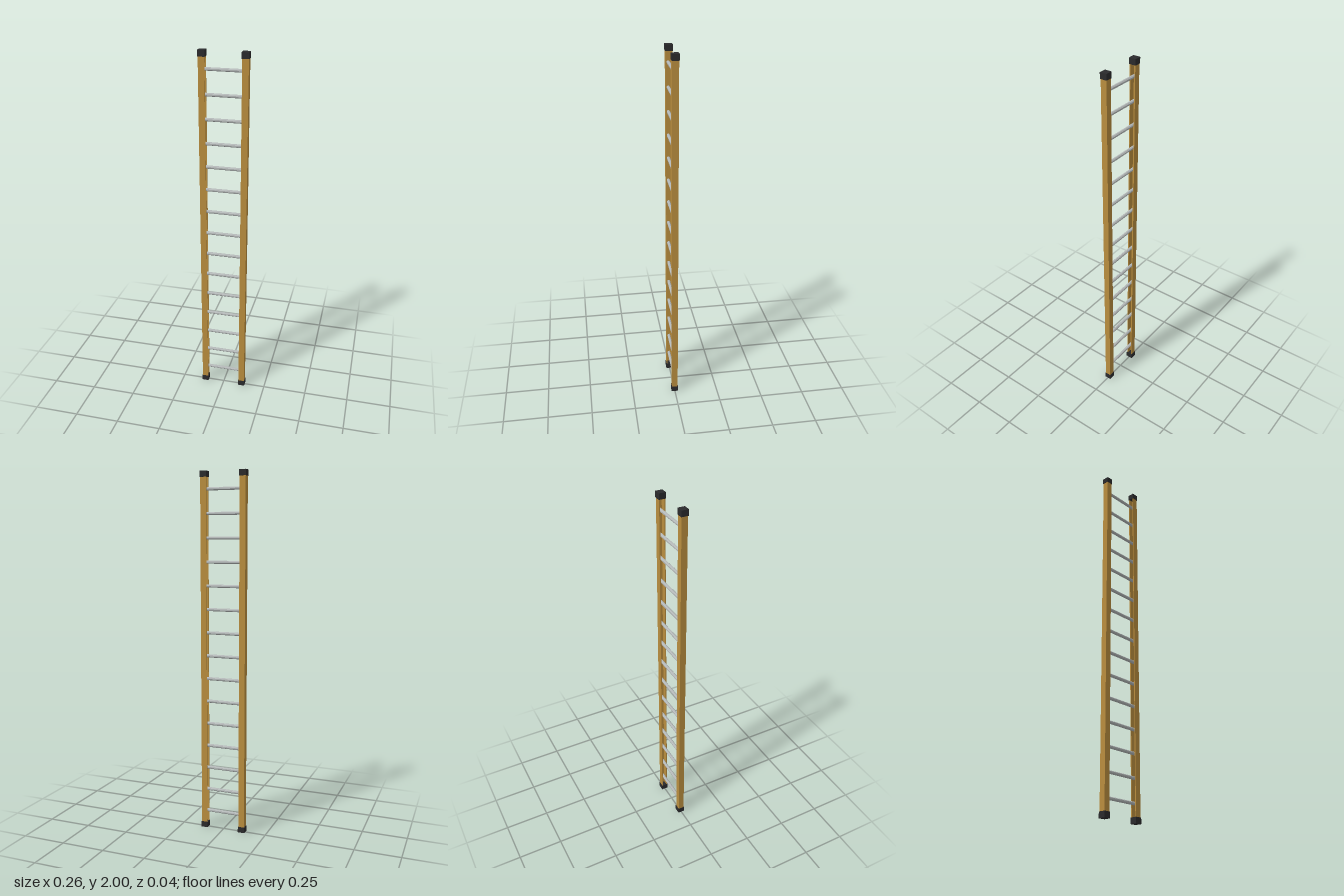
import * as THREE from 'three';

const railX = 0.112, railHalf = 0.0168, wall = 0.005;
const capSize = 0.0385, capHeight = 0.032, height = 2;

export function createModel() {
  const ladder = new THREE.Group();
  ladder.name = 'ladder';
  const wood = new THREE.MeshStandardMaterial({ color: 0xb98d3e });
  const rubber = new THREE.MeshStandardMaterial({ color: 0x2a2a2c });
  const metal = new THREE.MeshStandardMaterial({ color: 0xb4b8b8, flatShading: true });

  const add = (name, geometry, material, x, y) => {
    const mesh = new THREE.Mesh(geometry, material);
    mesh.name = name;
    mesh.position.set(x, y, 0);
    ladder.add(mesh);
    return mesh;
  };

  // C-channel section, open towards +x
  const h = railHalf, i = railHalf - wall;
  const section = new THREE.Shape([
    [-h, -h], [h, -h], [h, -i], [-i, -i], [-i, i], [h, i], [h, h], [-h, h],
  ].map(([x, y]) => new THREE.Vector2(x, y)));
  const railLength = height - 0.02;
  const railGeometry = new THREE.ExtrudeGeometry(section, { depth: railLength, bevelEnabled: false });
  railGeometry.translate(0, 0, -railLength / 2).rotateX(-Math.PI / 2);

  const capGeometry = new THREE.BoxGeometry(capSize, capHeight, capSize);

  // Side rails opening inwards, with an end cap at top and bottom
  for (const side of [-1, 1]) {
    const label = side > 0 ? 'left' : 'right';
    const rail = add(label + 'Rail', railGeometry, wood, side * railX, height / 2);
    if (side > 0) rail.rotation.y = Math.PI;
    add(label + 'FootCap', capGeometry, rubber, side * railX, capHeight / 2);
    add(label + 'TopCap', capGeometry, rubber, side * railX, height - capHeight / 2);
  }

  // Octagonal rungs reaching the webs of both rails, flats facing up and forward
  const rungGeometry = new THREE.CylinderGeometry(0.009, 0.009, 2 * (railX + i), 8);
  rungGeometry.rotateY(Math.PI / 8).rotateZ(Math.PI / 2);
  const rungs = 15, first = 0.1, last = 1.906;
  for (let n = 0; n < rungs; n++) {
    add('rung' + (n + 1), rungGeometry, metal, 0, first + (last - first) * n / (rungs - 1));
  }
  return ladder;
}
